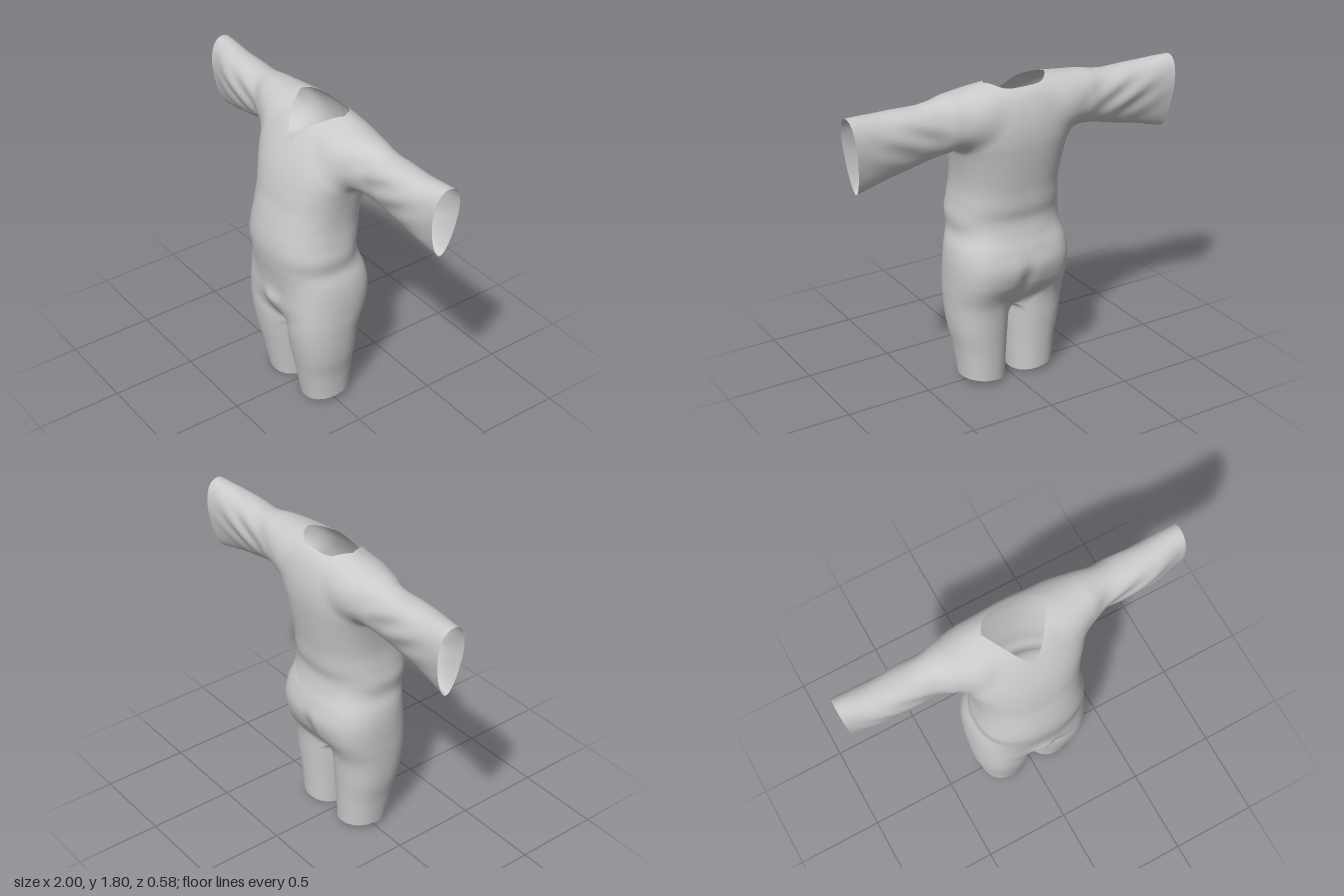
import * as THREE from 'three';

// Section tables. Torso: y, half width, front z, back z
const TORSO = [
  [0.46, 0.05, 0.10, -0.10], [0.52, 0.16, 0.17, -0.16], [0.58, 0.26, 0.215, -0.21],
  [0.65, 0.31, 0.24, -0.255], [0.75, 0.335, 0.25, -0.28], [0.85, 0.335, 0.265, -0.26],
  [0.93, 0.315, 0.28, -0.235], [1.02, 0.32, 0.29, -0.22], [1.1, 0.31, 0.285, -0.235],
  [1.2, 0.302, 0.265, -0.245], [1.3, 0.31, 0.24, -0.26], [1.4, 0.33, 0.22, -0.275],
  [1.5, 0.36, 0.19, -0.285], [1.6, 0.375, 0.145, -0.28], [1.7, 0.36, 0.085, -0.255],
  [1.76, 0.31, 0.03, -0.22], [1.8, 0.2, -0.05, -0.165], [1.815, 0.06, -0.09, -0.13],
];
// Leg: y, inner x, outer x, front z, back z
const LEG = [
  [-0.08, 0.035, 0.28, 0.12, -0.14], [0, 0.03, 0.283, 0.13, -0.145], [0.2, 0.018, 0.305, 0.17, -0.155],
  [0.34, 0.006, 0.333, 0.2, -0.165], [0.5, 0.0, 0.348, 0.225, -0.18], [0.65, 0.02, 0.352, 0.225, -0.225],
  [0.8, 0.04, 0.33, 0.2, -0.22], [0.9, 0.08, 0.29, 0.15, -0.18], [1.0, 0.12, 0.24, 0.1, -0.1],
];
// Sleeve: x, top y, bottom y, front z, back z
const SLEEVE = [
  [0.1, 1.74, 1.56, -0.02, -0.2], [0.25, 1.765, 1.5, 0.06, -0.25], [0.4, 1.775, 1.47, 0.04, -0.235],
  [0.5, 1.76, 1.455, 0.005, -0.215], [0.6, 1.75, 1.43, 0, -0.21], [0.8, 1.755, 1.385, -0.01, -0.205],
  [0.95, 1.765, 1.35, -0.04, -0.205], [1.08, 1.765, 1.32, -0.05, -0.21],
];

// Smooth interpolation of a section table
function sample(table, t) {
  const n = table.length;
  t = Math.min(Math.max(t, table[0][0]), table[n - 1][0]);
  let i = 0;
  while (i < n - 2 && t > table[i + 1][0]) i++;
  const a = table[Math.max(i - 1, 0)], b = table[i], c = table[i + 1], d = table[Math.min(i + 2, n - 1)];
  const h = c[0] - b[0], s = (t - b[0]) / h, s2 = s * s, s3 = s2 * s;
  return b.map((v, k) => {
    const m0 = (c[k] - a[k]) / (c[0] - a[0]) * h, m1 = (d[k] - b[k]) / (d[0] - b[0]) * h;
    return (2 * s3 - 3 * s2 + 1) * v + (s3 - 2 * s2 + s) * m0 + (3 * s2 - 2 * s3) * c[k] + (s3 - s2) * m1;
  });
}
const smin = (a, b, k) => {
  const h = Math.max(k - Math.abs(a - b), 0) / k;
  return Math.min(a, b) - h * h * k / 4;
};
const oval = (u, w, ru, rw, e) =>
  ((Math.abs(u / ru) ** e + Math.abs(w / rw) ** e) ** (1 / e) - 1) * Math.min(ru, rw);
const bump = (x, c, w) => Math.exp(-(((x - c) / w) ** 2));
const beyond = (f, table, t) => Math.max(f, table[0][0] - t, t - table[table.length - 1][0]);

function torso(x, y, z) {
  const [, rx, zf, zb] = sample(TORSO, y);
  let f = oval(x, z - (zf + zb) / 2, rx, (zf - zb) / 2, 2.35);
  if (z < 0) f += 0.025 * bump(x, 0, 0.05) * bump(y, 0.64, 0.12); // seat cleft
  else f -= 0.02 * bump(x, 0, 0.07) * bump(y, 0.67, 0.06); // front fullness
  return beyond(f, TORSO, y);
}
function leg(x, y, z) {
  const [, xi, xo, zf, zb] = sample(LEG, y);
  return beyond(oval(x - (xi + xo) / 2, z - (zf + zb) / 2, (xo - xi) / 2, (zf - zb) / 2, 2.2), LEG, y);
}
function sleeve(x, y, z) {
  const [, yt, yb, zf, zb] = sample(SLEEVE, x);
  const ry = (yt - yb) / 2, v = (y - (yt + yb) / 2) / ry;
  // egg-shaped section, narrow along the hanging edge
  const egg = 1 + 0.32 * THREE.MathUtils.smoothstep(x, 0.35, 0.75) * Math.min(Math.max(v, -1), 1);
  const f = oval(v * ry, z - (zf + zb) / 2, ry, (zf - zb) / 2 * egg, 2.1);
  // diagonal cloth folds
  const fold = 0.007 * Math.sin(42 * (y - 1.47 - 0.55 * (x - 0.4))) * bump(x, 0.65, 0.2) * bump(v, 0.1, 0.6);
  return beyond(f + fold, SLEEVE, x);
}
function field(x, y, z) {
  const ax = Math.abs(x);
  let f = torso(x, y, z);
  if (y < 1.1) f = smin(f, smin(leg(x, y, z), leg(-x, y, z), 0.02), 0.05);
  if (y > 1.1) f = smin(f, sleeve(ax, y, z), 0.06);
  return f;
}
function gradient(p, e = 0.006) {
  const [x, y, z] = p;
  return [field(x + e, y, z) - field(x - e, y, z), field(x, y + e, z) - field(x, y - e, z),
    field(x, y, z + e) - field(x, y, z - e)].map(d => d / (2 * e));
}
// Openings: positive where cloth is cut away at cuffs, hems and neckline
function cut([x, y, z]) {
  const ax = Math.abs(x);
  const cuff = ax - 1 + (1.765 - y) * 0.095 * (y > 1.2 ? 1 : 0);
  const hem = 0.12 * ax - 0.08 * z - y;
  const neck = y > 1.5 ? Math.min(0.12 - 0.5 * ax - 3.5 * ax * ax - z, z + 0.2 - 80 * ax ** 4) : -1;
  return Math.max(cuff, hem, neck);
}

// Wrap the field in a quad skin; returns a list of quads of points
function skin(step, min, size) {
  const n = size.map(s => Math.ceil(s / step) + 1);
  const stride = [1, n[0], n[0] * n[1]];
  const vals = new Float32Array(n[0] * n[1] * n[2]);
  const each = (lo, hi, fn) => {
    for (let k = lo; k < n[2] - hi; k++) for (let j = lo; j < n[1] - hi; j++)
      for (let i = lo; i < n[0] - hi; i++) fn([i, j, k], i + j * stride[1] + k * stride[2]);
  };
  each(0, 0, (g, id) => { vals[id] = field(...g.map((q, a) => min[a] + q * step)); });
  const points = new Map(), quads = [];
  each(0, 1, (g, id) => {
    const sum = [0, 0, 0];
    let count = 0;
    for (let c = 0; c < 8; c++) for (let a = 0; a < 3; a++) {
      if (c >> a & 1) continue;
      const o = [c & 1, c >> 1 & 1, c >> 2];
      const i0 = id + o[0] + o[1] * stride[1] + o[2] * stride[2];
      const v0 = vals[i0], v1 = vals[i0 + stride[a]];
      if ((v0 < 0) === (v1 < 0)) continue;
      o[a] = v0 / (v0 - v1);
      o.forEach((q, b) => { sum[b] += q; });
      count++;
    }
    if (!count) return;
    const p = sum.map((s, a) => min[a] + (g[a] + s / count) * step);
    // settle the point onto the surface
    const d = gradient(p), m = d[0] ** 2 + d[1] ** 2 + d[2] ** 2 + 1e-6;
    const move = THREE.MathUtils.clamp(field(...p) / Math.sqrt(m), -step / 2, step / 2) / Math.sqrt(m);
    points.set(id, p.map((q, a) => q - d[a] * move));
  });
  each(1, 1, (g, id) => {
    for (let a = 0; a < 3; a++) {
      const inside = vals[id] < 0;
      if (inside === (vals[id + stride[a]] < 0)) continue;
      const b = stride[(a + 1) % 3], c = stride[(a + 2) % 3];
      const q = [id, id - b, id - b - c, id - c].map(i => points.get(i));
      if (q.every(Boolean)) quads.push(inside ? q : q.reverse());
    }
  });
  return quads;
}

// Trim a polygon along the openings
function trim(poly) {
  const out = [];
  poly.forEach((p, i) => {
    const q = poly[(i + 1) % poly.length], cp = cut(p), cq = cut(q);
    if (cp <= 0) out.push(p);
    if ((cp <= 0) !== (cq <= 0)) out.push(p.map((v, a) => v + (q[a] - v) * cp / (cp - cq)));
  });
  return out;
}
function partName([x, y]) {
  const side = x > 0 ? 'left' : 'right';
  if (y > 1.2 && Math.abs(x) > 0.42) return side + 'Sleeve';
  return y < 0.45 ? side + 'Leg' : 'torso';
}

export function createModel() {
  const group = new THREE.Group();
  group.name = 'garment';
  const material = new THREE.MeshStandardMaterial({ color: 0xcccccc, side: THREE.DoubleSide });
  const parts = {};
  for (const quad of skin(0.018, [-1.071, -0.07, -0.351], [2.142, 1.95, 0.702])) {
    const poly = trim(quad);
    if (poly.length < 3) continue;
    const part = parts[partName(quad[0])] ??= { position: [], normal: [] };
    const normals = poly.map(p => new THREE.Vector3(...gradient(p)).normalize().toArray());
    for (let i = 1; i < poly.length - 1; i++) for (const k of [0, i, i + 1]) {
      part.position.push(...poly[k]);
      part.normal.push(...normals[k]);
    }
  }
  for (const [name, data] of Object.entries(parts)) {
    const geometry = new THREE.BufferGeometry();
    for (const key of ['position', 'normal'])
      geometry.setAttribute(key, new THREE.Float32BufferAttribute(data[key], 3));
    const mesh = new THREE.Mesh(geometry, material);
    mesh.name = name;
    group.add(mesh);
  }
  return group;
}
